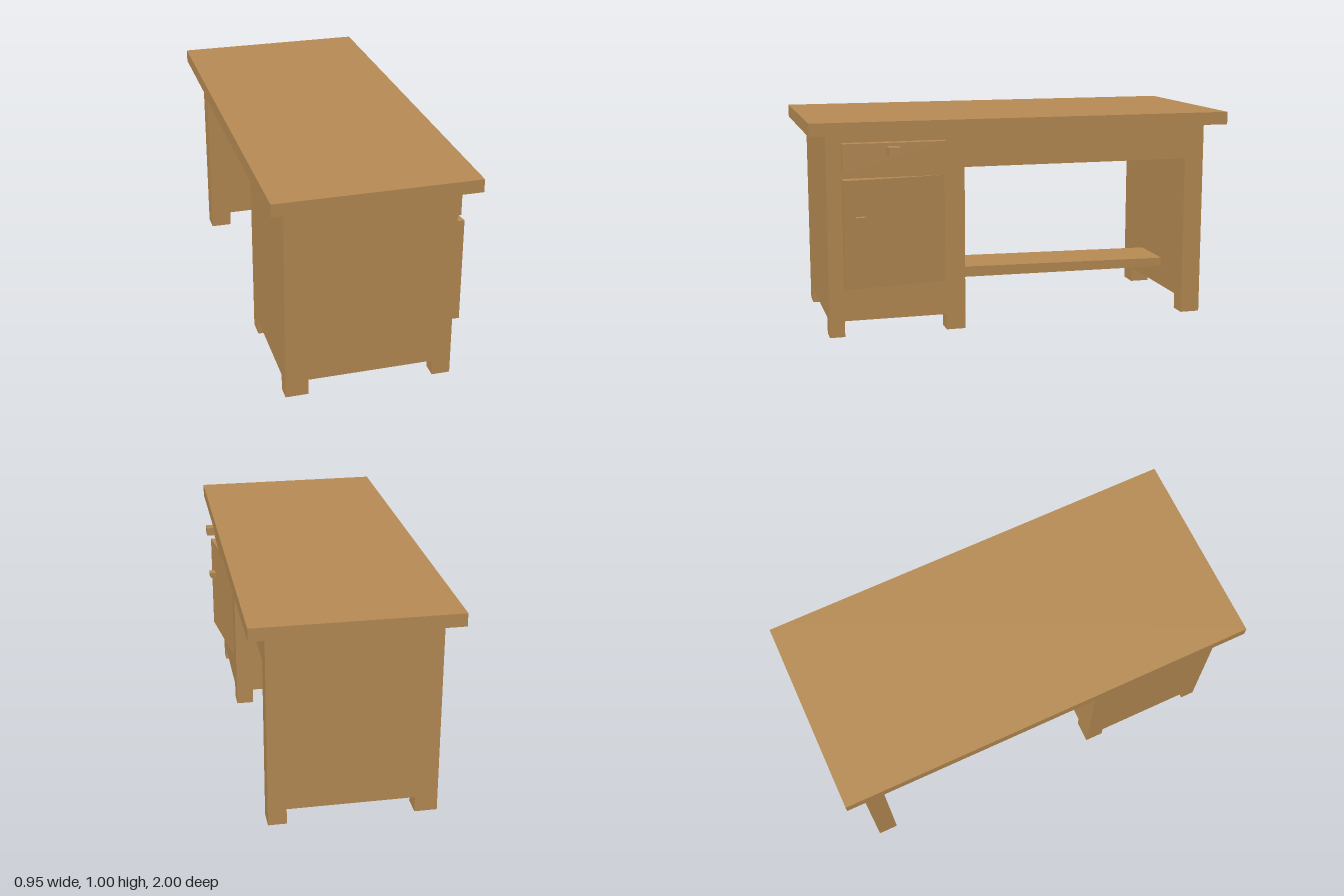
import * as THREE from 'three';

const wood = new THREE.MeshStandardMaterial({ color: 0xb98d55, flatShading: true });

function add(parent, name, geometry) {
  const mesh = new THREE.Mesh(geometry, wood);
  mesh.name = name;
  parent.add(mesh);
  return mesh;
}

// Box given by its limits on each axis
function block(parent, name, [x0, x1], [y0, y1], [z0, z1]) {
  const mesh = add(parent, name, new THREE.BoxGeometry(x1 - x0, y1 - y0, z1 - z0));
  mesh.position.set((x0 + x1) / 2, (y0 + y1) / 2, (z0 + z1) / 2);
  return mesh;
}

// Side profile of [z, y] points, extruded from x0 to x1
function sideExtrude(parent, name, profile, x0, x1) {
  const shape = new THREE.Shape(profile.map(([z, y]) => new THREE.Vector2(-z, y)));
  const geometry = new THREE.ExtrudeGeometry(shape, { depth: x1 - x0, bevelEnabled: false });
  geometry.rotateY(Math.PI / 2).translate(x0, 0, 0);
  return add(parent, name, geometry);
}

// Plan of [x, z] points, extruded from y0 to y1
function planExtrude(parent, name, plan, y0, y1) {
  const shape = new THREE.Shape(plan.map(([x, z]) => new THREE.Vector2(x, -z)));
  const geometry = new THREE.ExtrudeGeometry(shape, { depth: y1 - y0, bevelEnabled: false });
  geometry.rotateX(-Math.PI / 2).translate(0, y0, 0);
  return add(parent, name, geometry);
}

export function createModel() {
  const desk = new THREE.Group();
  desk.name = 'desk';
  const back = -0.405, face = 0.37, footTop = 0.075;

  block(desk, 'tabletop', [-0.475, 0.45], [0.94, 1], [-1, 1]);

  // Cabinet, beam over the knee hole and end panel in one piece
  sideExtrude(desk, 'body', [
    [0.92, footTop], [0.28, footTop], [0.28, 0.77], [-0.82, 0.77],
    [-0.82, footTop], [-0.915, footTop], [-0.915, 0.94], [0.92, 0.94],
  ], back, face);

  // Feet under the cabinet corners and the end panel
  for (const z of [[0.85, 0.92], [0.28, 0.37], [-0.915, -0.82]]) {
    block(desk, 'backFoot', [back, -0.3], [0, footTop], z);
    block(desk, 'frontFoot', [0.285, face], [0, footTop], z);
  }

  // Slightly sloping footrest
  sideExtrude(desk, 'footrest', [
    [0.28, 0.185], [0.28, 0.237], [-0.82, 0.22], [-0.82, 0.176],
  ], -0.15, 0.11);

  // Drawer
  block(desk, 'drawer', [face, 0.415], [0.765, 0.9], [0.375, 0.85]);
  block(desk, 'drawerKnob', [0.415, 0.472], [0.845, 0.885], [0.595, 0.65]);

  // Door standing slightly ajar, with a knob square to its face
  planExtrude(desk, 'door', [[face, 0.85], [0.432, 0.85], [face, 0.375]], 0.237, 0.737);
  const knob = block(desk, 'doorKnob', [0.39, 0.45], [0.543, 0.57], [0.755, 0.8]);
  knob.rotation.y = Math.atan2(0.062, 0.475);

  return desk;
}
